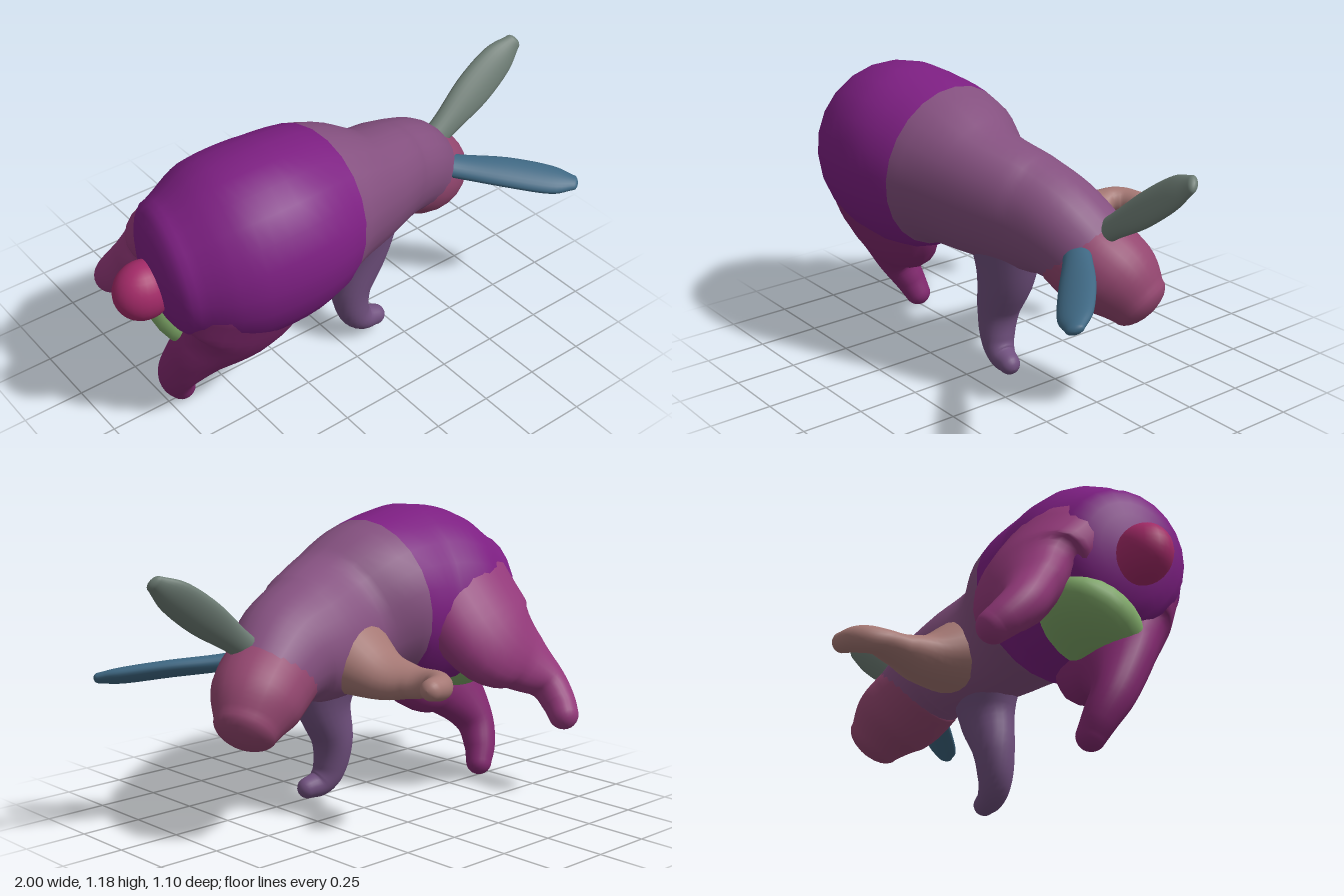
import * as THREE from 'three';

const V = (a) => new THREE.Vector3(...a);
// The animal heads along +x and is rolled about that axis; this points to its lower flank.
const FLANK = [0, -0.47, 0.88];
const SEGMENTS = 24;

// Elliptical tube through stations [x, y, z, radius, sideRadius]; ends are domed.
// from/to pick a range of the path, caps sets the dome length at each end (0 = open).
function loft(name, color, stations, { side = FLANK, from = 0, to = 1, caps = [1, 1] } = {}) {
  const spine = new THREE.CatmullRomCurve3(stations.map((s) => V(s.slice(0, 3))), false, 'catmullrom', 0.5);
  const radii = new THREE.CatmullRomCurve3(
    stations.map((s) => new THREE.Vector3(s[3], s[4] ?? s[3], 0)), false, 'catmullrom', 0.5);
  const positions = [], index = [];
  let rings = 0;

  const ring = (t, scale, push) => {
    const T = spine.getTangent(t), r = radii.getPoint(t);
    const S = V(side).addScaledVector(T, -V(side).dot(T)).normalize();
    const U = T.clone().cross(S);
    const c = spine.getPoint(t).addScaledVector(T, push * Math.min(r.x, r.y));
    for (let j = 0; j < SEGMENTS; j++) {
      const a = (j / SEGMENTS) * Math.PI * 2;
      const p = c.clone()
        .addScaledVector(S, r.y * scale * Math.cos(a))
        .addScaledVector(U, r.x * scale * Math.sin(a));
      positions.push(p.x, p.y, p.z);
    }
    rings++;
  };
  const dome = (t, length, start) => {
    if (!length) return;
    for (let i = 0; i < 6; i++) {
      const a = ((start ? 6 - i : i + 1) / 6) * Math.PI / 2;
      ring(t, Math.max(Math.cos(a), 0.001), (start ? -1 : 1) * length * Math.sin(a));
    }
  };

  dome(from, caps[0], true);
  const steps = Math.max(8, Math.round((stations.length - 1) * 5 * (to - from)));
  for (let i = 0; i <= steps; i++) ring(from + (to - from) * i / steps, 1, 0);
  dome(to, caps[1], false);

  for (let i = 0; i < rings - 1; i++) {
    for (let j = 0; j < SEGMENTS; j++) {
      const k = (j + 1) % SEGMENTS;
      const a = i * SEGMENTS + j, b = i * SEGMENTS + k;
      index.push(a, b, b + SEGMENTS, a, b + SEGMENTS, a + SEGMENTS);
    }
  }
  const geometry = new THREE.BufferGeometry();
  geometry.setAttribute('position', new THREE.Float32BufferAttribute(positions, 3));
  geometry.setIndex(index);
  geometry.computeVertexNormals();
  return named(name, color, geometry);
}

function named(name, color, geometry) {
  const mesh = new THREE.Mesh(geometry, new THREE.MeshStandardMaterial({ color }));
  mesh.name = name;
  return mesh;
}

function blob(name, color, center, scale, roll = 0) {
  const mesh = named(name, color, new THREE.SphereGeometry(1, 24, 16));
  mesh.position.set(...center);
  mesh.scale.set(...scale);
  mesh.rotation.x = roll;
  return mesh;
}

export function createModel() {
  const model = new THREE.Group();
  model.name = 'rabbit';

  // Torso: one profile, divided into rump and chest
  const torso = [
    [-0.76, 0.77, 0.12, 0.27, 0.26],
    [-0.6, 0.785, 0.15, 0.36, 0.34],
    [-0.4, 0.805, 0.185, 0.385, 0.35],
    [-0.2, 0.81, 0.17, 0.335, 0.32],
    [0, 0.76, 0.15, 0.295, 0.24],
    [0.2, 0.72, 0.09, 0.265, 0.21],
    [0.35, 0.69, 0.06, 0.22, 0.19],
    [0.5, 0.605, 0.015, 0.17, 0.17],
  ];
  const split = 3 / 7;
  model.add(loft('rump', 0x7d1f82, torso, { to: split, caps: [0.38, 0] }));
  model.add(loft('chest', 0x84507f, torso, { from: split, caps: [0, 0.4] }));
  model.add(blob('groin', 0x7fa868, [-0.64, 0.53, 0.06], [0.19, 0.12, 0.22], 0.49));

  // Head, nose lowered, and tail
  model.add(loft('head', 0x93466f, [
    [0.41, 0.64, 0.04, 0.18, 0.175],
    [0.5, 0.59, 0.015, 0.185, 0.18],
    [0.58, 0.535, -0.025, 0.172, 0.165],
    [0.65, 0.465, -0.06, 0.125, 0.118],
  ], { caps: [0.3, 0.55] }));
  model.add(blob('tail', 0xa32a68, [-0.885, 0.725, 0.12], [0.115, 0.115, 0.1]));

  // Ears: flat blades, wide along the side direction
  model.add(loft('raisedEar', 0x6d7c74, [
    [0.52, 0.7, 0.03, 0.04, 0.05],
    [0.62, 0.775, 0.03, 0.033, 0.056],
    [0.76, 0.875, 0.025, 0.033, 0.077],
    [0.89, 0.968, 0.02, 0.03, 0.07],
    [0.975, 1.025, 0.02, 0.02, 0.035],
  ], { side: [0.48, -0.68, 0.55] }));
  model.add(loft('loweredEar', 0x3f6883, [
    [0.48, 0.68, 0.1, 0.035, 0.05],
    [0.58, 0.66, 0.18, 0.033, 0.056],
    [0.72, 0.64, 0.3, 0.032, 0.07],
    [0.85, 0.615, 0.42, 0.03, 0.066],
    [0.918, 0.605, 0.48, 0.02, 0.035],
  ], { side: [0.7, 0.38, -0.7] }));

  // Forelegs, paws turned forward
  model.add(loft('rightForeleg', 0x70507e, [
    [0.1, 0.62, 0.12, 0.18, 0.15],
    [0.1, 0.44, 0.13, 0.125, 0.105],
    [0.055, 0.28, 0.13, 0.085],
    [0.06, 0.16, 0.14, 0.068],
    [0.1, 0.1, 0.15, 0.055],
    [0.16, 0.085, 0.16, 0.043],
  ]));
  model.add(loft('leftForeleg', 0xa57874, [
    [0.09, 0.65, -0.01, 0.19, 0.16],
    [0.075, 0.595, -0.18, 0.12, 0.095],
    [0.05, 0.585, -0.32, 0.078, 0.06],
    [0.045, 0.595, -0.43, 0.062, 0.054],
    [0.085, 0.6, -0.49, 0.052],
    [0.15, 0.605, -0.515, 0.042],
  ]));

  // Hind legs: broad thighs narrowing to the feet
  model.add(loft('rightHindLeg', 0x82296f, [
    [-0.52, 0.7, 0.28, 0.29, 0.2],
    [-0.56, 0.5, 0.23, 0.26, 0.15],
    [-0.675, 0.36, 0.15, 0.155, 0.11],
    [-0.735, 0.23, 0.08, 0.085, 0.085],
    [-0.72, 0.13, 0.03, 0.068],
    [-0.69, 0.058, 0.005, 0.055],
  ], { caps: [0.4, 1] }));
  model.add(loft('leftHindLeg', 0x93397a, [
    [-0.53, 0.82, -0.01, 0.28, 0.18],
    [-0.565, 0.66, -0.165, 0.25, 0.145],
    [-0.67, 0.545, -0.25, 0.15, 0.1],
    [-0.74, 0.46, -0.32, 0.085, 0.08],
    [-0.74, 0.39, -0.385, 0.07],
    [-0.72, 0.345, -0.43, 0.062],
  ], { caps: [0.3, 1] }));

  return model;
}
